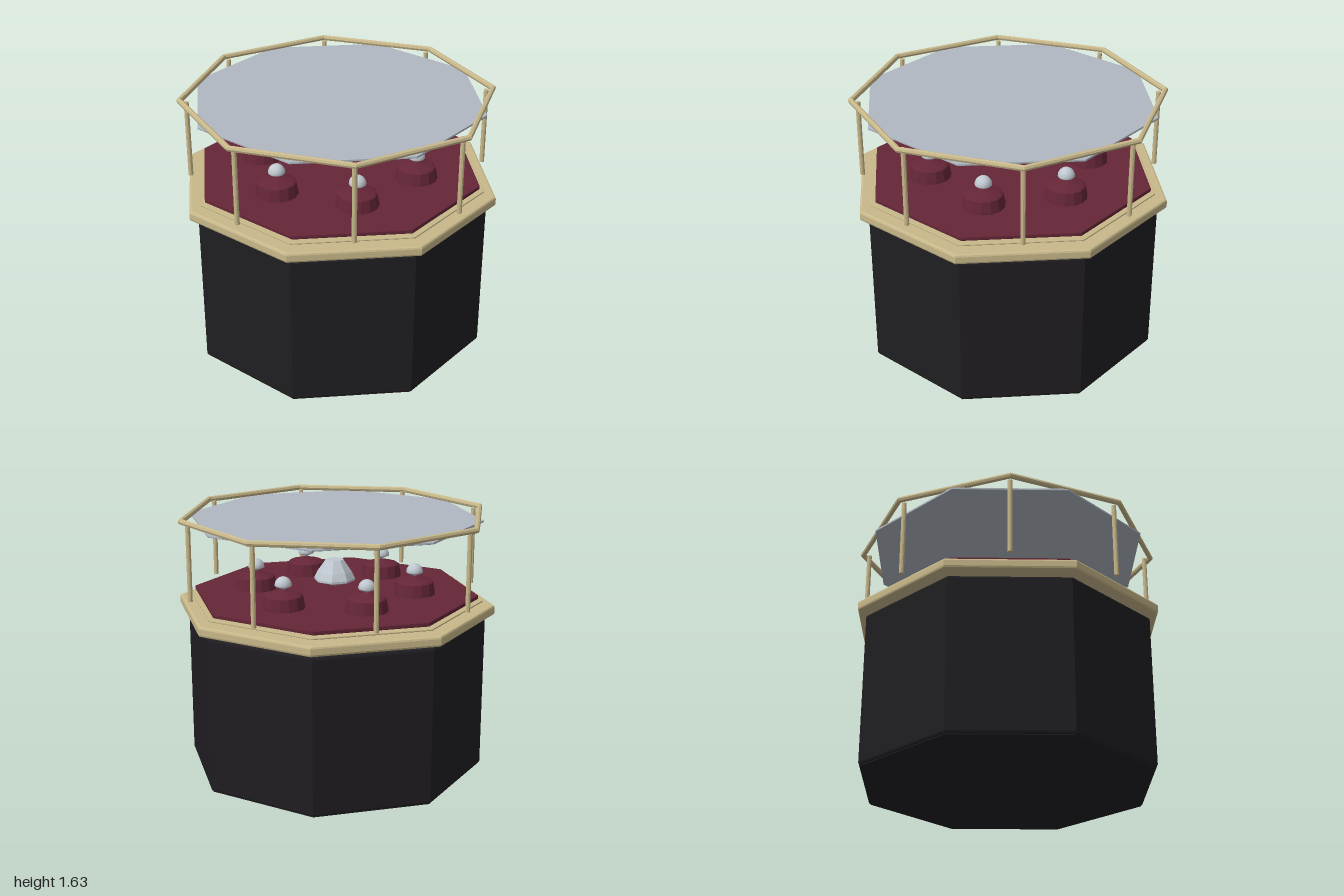
import * as THREE from 'three';

const mat = (color, extra = {}) => new THREE.MeshStandardMaterial({ color, flatShading: true, ...extra });

export function createModel() {
  const model = new THREE.Group();
  const black = mat(0x1f1d21), brass = mat(0xc8b88a), red = mat(0x652637);
  const glass = mat(0xb0b8c2), gem = mat(0xc0c8d0), pearl = mat(0xc0c8d0, { flatShading: false });

  const add = (name, geometry, material, x = 0, y = 0, z = 0) => {
    const mesh = new THREE.Mesh(geometry, material);
    mesh.name = name;
    mesh.position.set(x, y, z);
    model.add(mesh);
    return mesh;
  };
  const lathe = (points, sides) =>
    new THREE.LatheGeometry(points.map(([r, y]) => new THREE.Vector2(r, y)), sides);
  // Octagonal slab with softened rims, corners on the axes
  const slab = (r, y0, y1, b) => lathe([
    [0, y0], [r - b, y0], [r - b * 0.3, y0 + b * 0.3], [r, y0 + b],
    [r, y1 - b], [r - b * 0.3, y1 - b * 0.3], [r - b, y1], [0, y1]], 8);

  // Stacked octagonal body
  add('base', slab(0.943, 0.005, 0.98, 0.015), black);
  add('baseFoot', new THREE.CylinderGeometry(0.93, 0.93, 0.01, 8), black, 0, 0.005);
  add('brassCollar', slab(1.0, 1.002, 1.065, 0.014), brass);
  add('thinTrim', slab(0.925, 1.082, 1.092, 0.003), brass);
  add('velvetTop', slab(0.897, 1.1, 1.125, 0.004), red);

  // Glass cover and the rail turned half a side against it
  add('glassCover', slab(0.914, 1.584, 1.597, 0.002), glass);
  const railGeometry = new THREE.TorusGeometry(0.953, 0.018, 8, 8);
  railGeometry.rotateX(Math.PI / 2).rotateY(Math.PI / 8);
  add('rail', railGeometry, brass, 0, 1.613);

  // Posts under the rail corners
  const postGeometry = new THREE.CylinderGeometry(0.015, 0.015, 0.49, 10);
  for (let i = 0; i < 8; i++) {
    const a = (i + 0.5) * Math.PI / 4;
    add('post', postGeometry, brass, 0.912 * Math.cos(a), 1.36, 0.912 * Math.sin(a));
  }

  // Six cushions, each carrying a small domed stone
  const cushionGeometry = lathe([[0, 1.118], [0.132, 1.118], [0.129, 1.14],
    [0.117, 1.2], [0.105, 1.208], [0.045, 1.224], [0, 1.237]], 14);
  const dome = [[0, 1.232], [0.03, 1.249], [0.049, 1.256]];
  for (let i = 0; i <= 6; i++) {
    const a = i * Math.PI / 12;
    dome.push([i === 6 ? 0 : 0.052 * Math.cos(a), 1.262 + 0.053 * Math.sin(a)]);
  }
  const stoneGeometry = lathe(dome, 16);
  for (let i = 0; i < 6; i++) {
    const a = i * Math.PI / 3, x = 0.5 * Math.cos(a), z = 0.5 * Math.sin(a);
    add('cushion', cushionGeometry, red, x, 0, z);
    add('stone', stoneGeometry, pearl, x, 0, z);
  }

  // Faceted jewel floating in the middle
  add('centreJewel', lathe([[0, 1.155], [0.128, 1.195], [0.128, 1.208],
    [0.108, 1.25], [0.056, 1.325], [0, 1.325]], 8), gem);

  return model;
}
